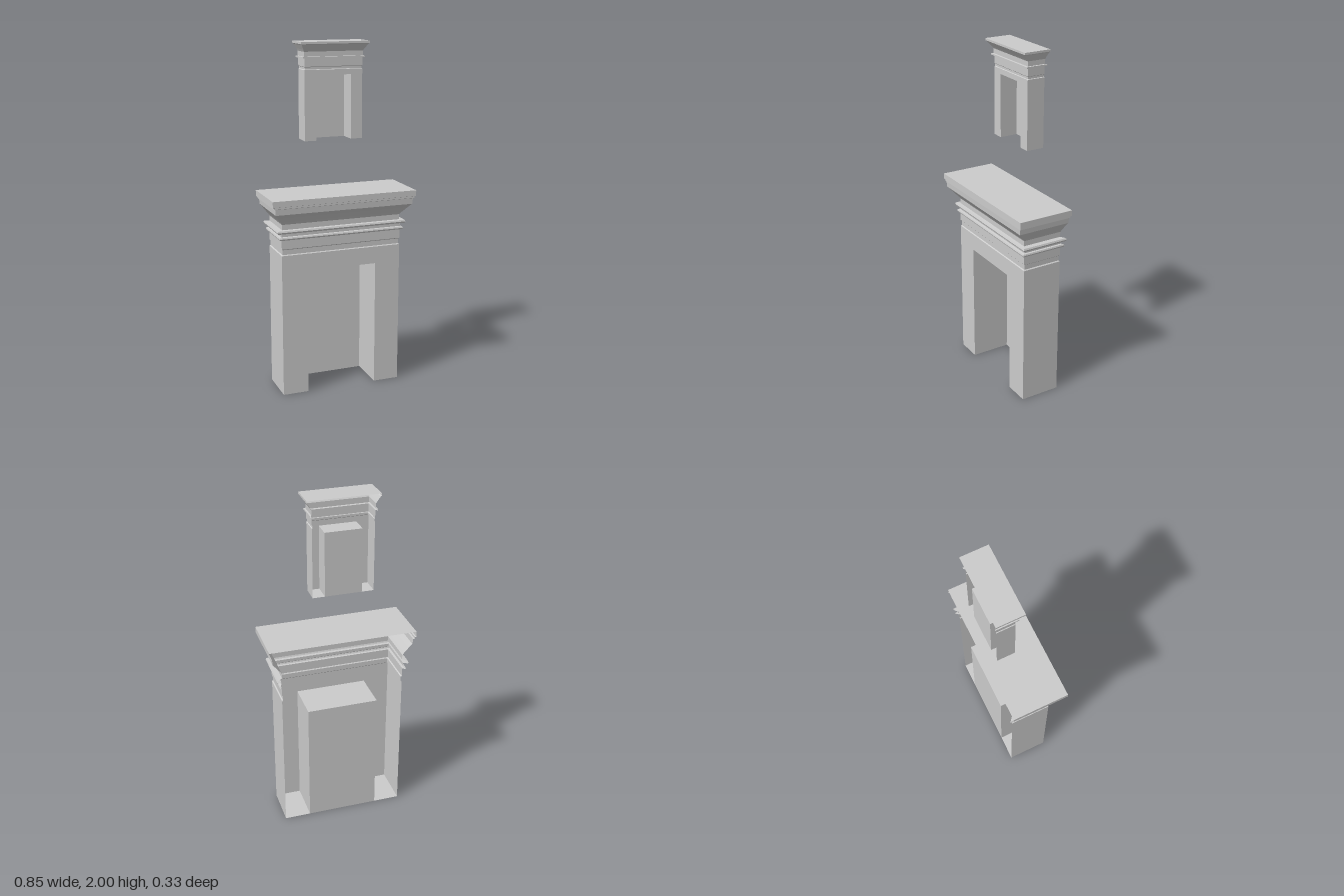
import * as THREE from 'three';

const material = new THREE.MeshStandardMaterial({ color: 0xcccccc, flatShading: true, side: THREE.DoubleSide });

// Skin between successive open polylines that all have the same point count
function skin(name, lines) {
  const pos = [];
  for (let i = 0; i < lines.length - 1; i++) {
    for (let j = 0; j < lines[i].length - 1; j++) {
      const a = lines[i][j], b = lines[i][j + 1], c = lines[i + 1][j + 1], d = lines[i + 1][j];
      pos.push(...a, ...b, ...c, ...a, ...c, ...d);
    }
  }
  const geometry = new THREE.BufferGeometry();
  geometry.setAttribute('position', new THREE.Float32BufferAttribute(pos, 3));
  geometry.computeVertexNormals();
  const mesh = new THREE.Mesh(geometry, material);
  mesh.name = name;
  return mesh;
}

// Horizontal rectangle
const level = (name, x0, x1, y, z0, z1) =>
  skin(name, [[[x0, y, z1], [x1, y, z1]], [[x0, y, z0], [x1, y, z0]]]);

// Hollow mantel, open at the back.
// profile rows: [height, half width, front z, back z], from the opening's top upwards
function fireplace(name, base, openX, profile) {
  const group = new THREE.Group();
  group.name = name;
  const [openTop, w, front, back] = profile[0];

  // Front wall and side walls with all mouldings, running round three sides
  group.add(skin('mouldedSurround', profile.map(([y, x, f, b]) =>
    [[-x, y, b], [-x, y, f], [x, y, f], [x, y, b]])));

  // Cap slab
  const [topY, topX, topF, topB] = profile[profile.length - 1];
  group.add(level('mantelTop', -topX, topX, topY, topB, topF));

  // Piers: inner niche wall, front and outer wall, closed underneath
  for (const s of [1, -1]) {
    const side = s > 0 ? 'left' : 'right';
    const line = y => [[s * openX, y, back], [s * openX, y, front], [s * w, y, front], [s * w, y, back]];
    const pier = skin(side + 'Pier', [line(base), line(openTop)]);
    group.add(pier);
    group.add(level(side + 'PierFoot', Math.min(s * openX, s * w), Math.max(s * openX, s * w), base, back, front));
  }

  // Niche ceiling and back panel
  group.add(level('nicheCeiling', -openX, openX, openTop, back, front));
  group.add(skin('nicheBack', [
    [[-openX, base, back], [openX, base, back]],
    [[-openX, openTop, back], [openX, openTop, back]],
  ]));
  return group;
}

export function createModel() {
  const model = new THREE.Group();
  model.name = 'fireplaces';

  model.add(fireplace('largeFireplace', 0, 0.207, [
    [0.735, 0.358, 0.095, -0.14],
    [0.835, 0.358, 0.095, -0.14],
    [0.84, 0.352, 0.09, -0.137],
    [0.868, 0.352, 0.09, -0.137],
    [0.873, 0.358, 0.095, -0.14],
    [0.925, 0.358, 0.095, -0.14],
    [0.927, 0.37, 0.107, -0.157],
    [0.935, 0.373, 0.11, -0.16],
    [0.943, 0.37, 0.107, -0.157],
    [0.945, 0.36, 0.096, -0.142],
    [0.963, 0.36, 0.096, -0.142],
    [0.965, 0.382, 0.112, -0.162],
    [0.974, 0.386, 0.116, -0.165],
    [0.983, 0.382, 0.112, -0.162],
    [0.985, 0.355, 0.095, -0.14],
    [1.015, 0.355, 0.095, -0.142],
    [1.03, 0.365, 0.106, -0.145],
    [1.06, 0.388, 0.132, -0.15],
    [1.085, 0.408, 0.155, -0.156],
    [1.118, 0.411, 0.157, -0.158],
    [1.12, 0.42, 0.16, -0.161],
    [1.13, 0.42, 0.16, -0.161],
    [1.132, 0.427, 0.165, -0.165],
    [1.165, 0.427, 0.165, -0.165],
  ]));

  model.add(fireplace('smallFireplace', 1.45, 0.104, [
    [1.815, 0.172, -0.036, -0.141],
    [1.845, 0.172, -0.036, -0.141],
    [1.848, 0.168, -0.039, -0.14],
    [1.86, 0.168, -0.039, -0.14],
    [1.863, 0.172, -0.036, -0.141],
    [1.908, 0.172, -0.036, -0.141],
    [1.909, 0.183, -0.022, -0.152],
    [1.917, 0.183, -0.022, -0.152],
    [1.918, 0.174, -0.034, -0.142],
    [1.945, 0.174, -0.034, -0.143],
    [1.958, 0.181, -0.024, -0.146],
    [1.983, 0.196, -0.004, -0.152],
    [1.988, 0.202, 0.002, -0.155],
    [2.0, 0.202, 0.002, -0.155],
  ]));

  return model;
}
